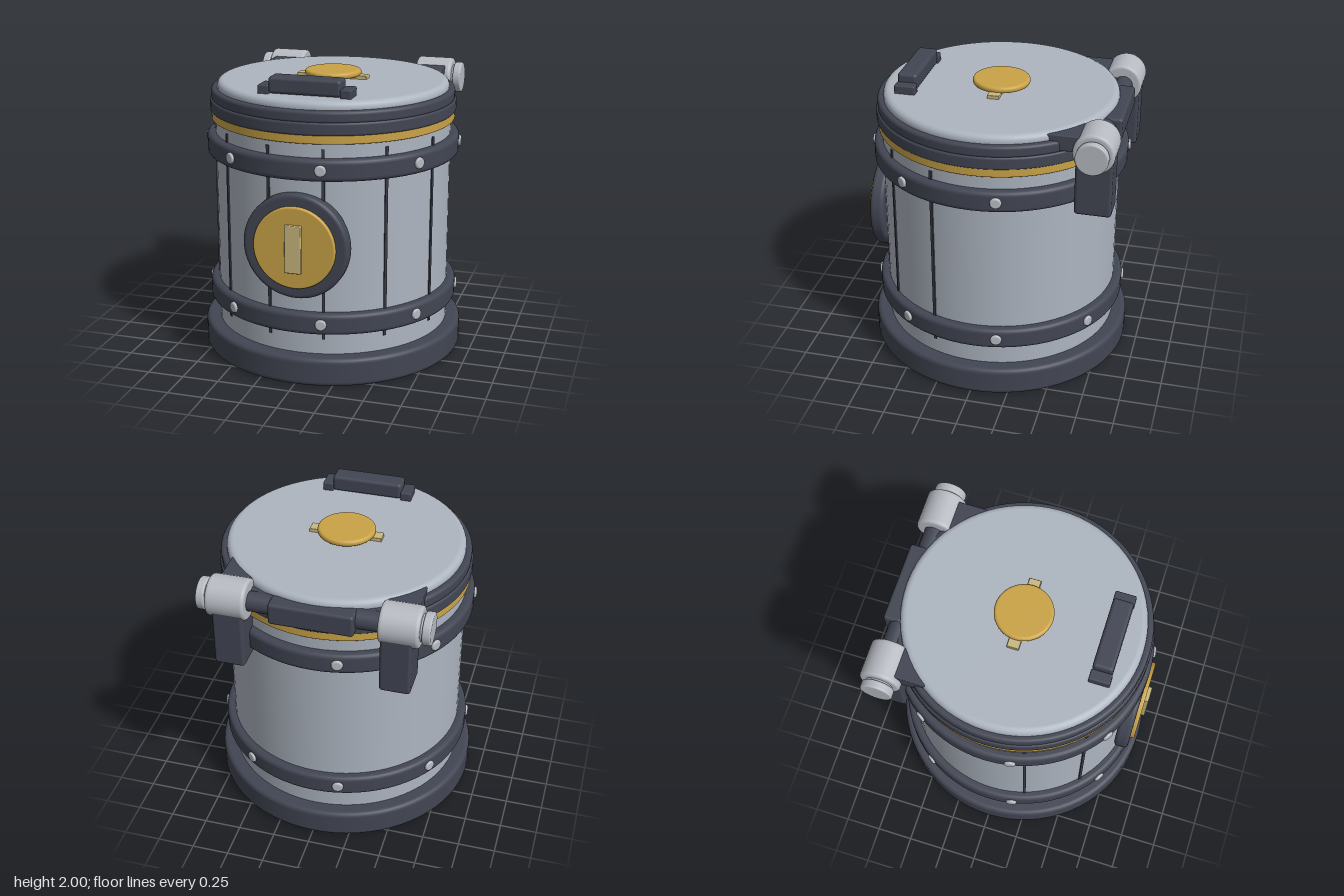
import * as THREE from 'three';
import { RoundedBoxGeometry } from 'three/addons/geometries/RoundedBoxGeometry.js';

const paint = (name, color) => {
  const m = new THREE.MeshStandardMaterial({ color });
  m.name = name;
  return m;
};

export function createModel() {
  const steel = paint('steel', 0xadb5c0);
  const brightSteel = paint('brightSteel', 0xb7bbc2);
  const iron = paint('darkIron', 0x424653);
  const seamIron = paint('seamIron', 0x383c47);
  const gold = paint('gold', 0xcaa346);
  const paleGold = paint('paleGold', 0xc9b87f);

  const model = new THREE.Group();
  model.name = 'canister';

  function add(parent, name, geometry, material, x = 0, y = 0, z = 0) {
    const mesh = new THREE.Mesh(geometry, material);
    mesh.name = name;
    mesh.position.set(x, y, z);
    parent.add(mesh);
    return mesh;
  }

  // Solid disc from y0 to y1 with rounded bottom and top rims
  function disc(r, y0, y1, bottom = 0.02, top = bottom, segments = 72) {
    const pts = [new THREE.Vector2(0, y0), new THREE.Vector2(r - bottom - 0.004, y0)];
    const arc = (cy, b, start) => {
      for (let i = 0; i <= 5; i++) {
        const a = start + (i / 5) * Math.PI / 2;
        pts.push(new THREE.Vector2(r - b + b * Math.cos(a), cy + b * Math.sin(a)));
      }
    };
    arc(y0 + bottom, bottom, -Math.PI / 2);
    pts.push(new THREE.Vector2(r, y0 + bottom + 0.003), new THREE.Vector2(r, y1 - top - 0.003));
    arc(y1 - top, top, 0);
    pts.push(new THREE.Vector2(r - top - 0.004, y1), new THREE.Vector2(0, y1));
    return new THREE.LatheGeometry(pts, segments);
  }

  // Box given by its limits on each axis
  function block(parent, name, material, [x0, x1], [y0, y1], [z0, z1], radius = 0.012) {
    return add(parent, name, new RoundedBoxGeometry(x1 - x0, y1 - y0, z1 - z0, 3, radius),
      material, (x0 + x1) / 2, (y0 + y1) / 2, (z0 + z1) / 2);
  }

  // Drum, foot and the stacked rims of the lid
  add(model, 'foot', disc(0.905, 0, 0.195, 0.03), iron);
  add(model, 'drum', new THREE.CylinderGeometry(0.807, 0.807, 1.54, 72, 1, true), steel, 0, 0.88, 0);
  add(model, 'goldSeal', disc(0.832, 1.625, 1.69, 0.008), gold);
  add(model, 'lowerRim', disc(0.84, 1.68, 1.765, 0.014), iron);
  add(model, 'upperRim', disc(0.83, 1.755, 1.835, 0.02), iron);
  add(model, 'lid', disc(0.79, 1.8, 1.888, 0.01, 0.04), steel);

  // Seams around the front half
  for (const degrees of [-72.5, -43, -14.3, 12.2, 41.5, 70]) {
    const a = THREE.MathUtils.degToRad(degrees);
    const seam = add(model, 'seam', new THREE.BoxGeometry(0.02, 1.29, 0.024), seamIron,
      0.803 * Math.sin(a), 0.945, 0.803 * Math.cos(a));
    seam.rotation.y = a;
  }

  // Two hoops, each with eight rivets
  for (const y of [0.42, 1.46]) {
    add(model, 'hoop', disc(0.864, y - 0.072, y + 0.072, 0.028), iron);
    for (let i = 0; i < 8; i++) {
      const pivot = new THREE.Group();
      pivot.name = 'rivetMount';
      pivot.rotation.y = Math.PI / 16 + i * Math.PI / 4;
      pivot.position.y = y + 0.003;
      model.add(pivot);
      add(pivot, 'rivet', disc(0.038, 0, 0.035, 0.004, 0.012, 20), brightSteel, 0, 0, 0.845).rotation.x = Math.PI / 2;
    }
  }

  // Round lock plate on the front
  const lock = new THREE.Group();
  lock.name = 'lock';
  lock.position.y = 0.945;
  model.add(lock);
  add(lock, 'lockSurround', disc(0.355, 0.76, 0.858, 0.025)).material = iron;
  add(lock, 'lockFace', disc(0.275, 0.83, 0.885, 0.01), gold);
  for (const part of lock.children) part.rotation.x = Math.PI / 2;
  block(lock, 'lockBar', paleGold, [-0.055, 0.055], [-0.163, 0.158], [0.86, 0.91], 0.006);

  // Knob on the lid
  block(model, 'knobTab', paleGold, [-0.245, 0.245], [1.875, 1.912], [-0.04, 0.04], 0.005);
  add(model, 'knob', disc(0.192, 1.902, 1.944, 0.018), gold);

  // Handle at the front of the lid
  block(model, 'handleGrip', iron, [-0.242, 0.242], [1.89, 2.0], [0.515, 0.65], 0.022);
  for (const s of [-1, 1])
    block(model, 'handleFoot', iron, [s * 0.275 - 0.037, s * 0.275 + 0.037], [1.87, 1.945], [0.512, 0.652], 0.01);

  // Hinge: a rod with a centre block, and a barrel and brackets at each side
  const rod = add(model, 'hingeRod', new THREE.CylinderGeometry(0.065, 0.065, 0.9, 28), iron, 0, 1.78, -0.755);
  rod.rotation.z = Math.PI / 2;
  block(model, 'hingeBlock', iron, [-0.275, 0.275], [1.7, 1.85], [-0.86, -0.74], 0.02);

  for (const s of [-1, 1]) {
    const side = s > 0 ? 'left' : 'right';
    const barrel = new THREE.Group();
    barrel.name = side + 'HingeBarrel';
    barrel.position.set(0, 1.782, -0.745);
    barrel.rotation.z = -s * Math.PI / 2;
    model.add(barrel);
    add(barrel, 'barrel', disc(0.135, 0.425, 0.682, 0.02, 0.02, 40), brightSteel);
    add(barrel, 'barrelNeck', disc(0.088, 0.67, 0.71, 0.004, 0.004, 32), brightSteel);
    add(barrel, 'barrelCap', disc(0.106, 0.695, 0.75, 0.01, 0.01, 36), brightSteel);

    const span = (a, b) => (s > 0 ? [a, b] : [-b, -a]);
    block(model, side + 'HingeArm', iron, span(0.435, 0.642), [1.77, 1.877], [-0.75, -0.44], 0.008);
    block(model, side + 'HingeLeg', iron, span(0.44, 0.642), [1.33, 1.79], [-0.865, -0.625], 0.022);
  }

  return model;
}
